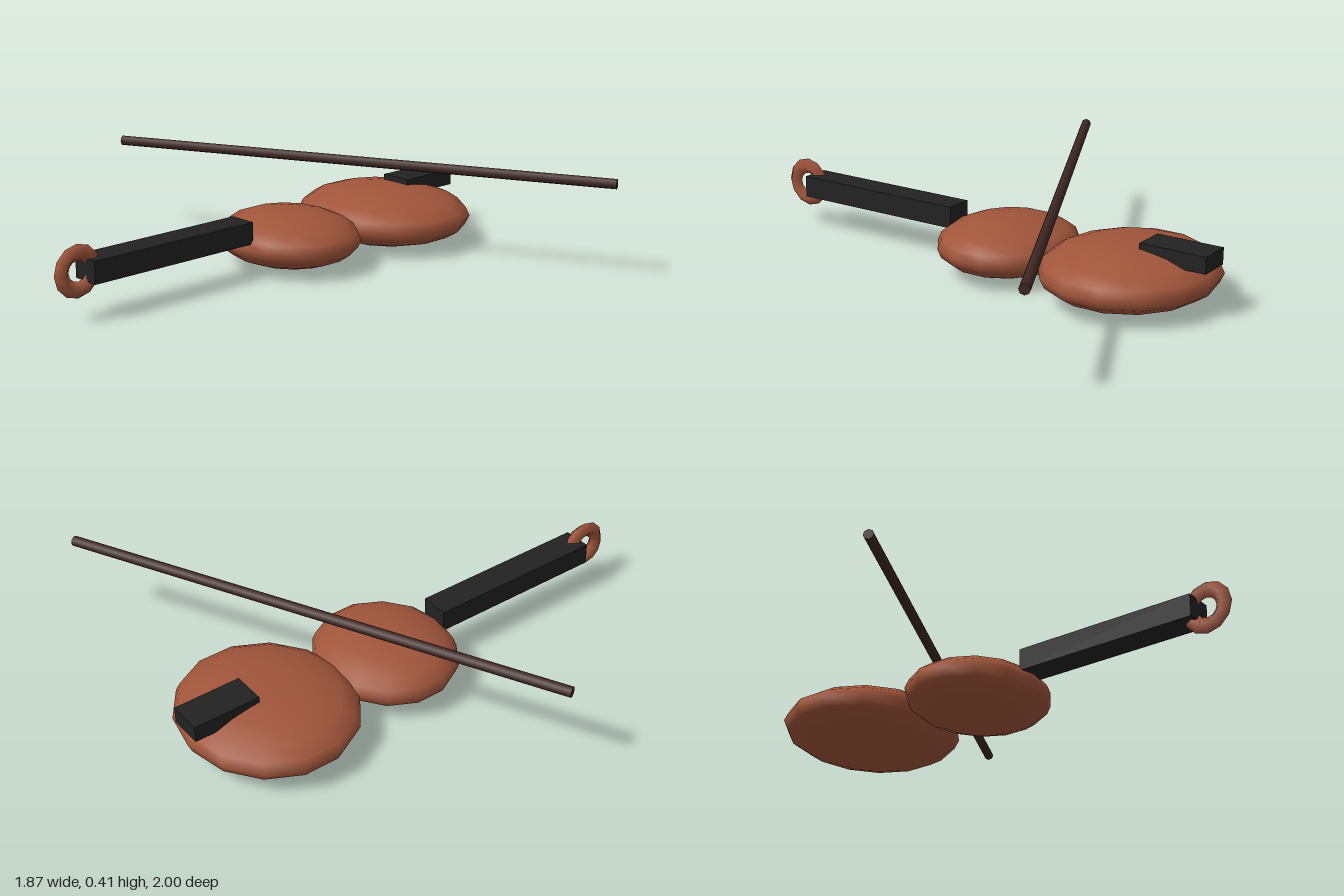
import * as THREE from 'three';

export function createModel() {
  const group = new THREE.Group();
  const mat = (name, color) => {
    const m = new THREE.MeshStandardMaterial({ color });
    m.name = name;
    return m;
  };
  const wood = mat('reddish wood', 0xa0553a);
  const ebony = mat('ebony black', 0x222222);
  const darkWood = mat('dark bow wood', 0x3e2723);
  const axisX = -0.088; // centre line of the instrument

  const add = (name, geometry, material, x, y, z) => {
    const mesh = new THREE.Mesh(geometry, material);
    mesh.name = name;
    mesh.position.set(x, y, z);
    group.add(mesh);
    return mesh;
  };

  // Body: two flattened low-poly spheres, with a corner pointing along z
  const bout = (name, rx, ry, rz, z) => {
    const g = new THREE.SphereGeometry(1, 14, 10);
    g.rotateY(Math.PI / 2);
    g.scale(rx, ry, rz);
    add(name, g, wood, axisX, 0.121, z);
  };
  bout('lowerBout', 0.372, 0.116, 0.337, -0.66);
  bout('upperBout', 0.303, 0.11, 0.272, -0.12);

  // Neck and tailpiece
  add('neck', new THREE.BoxGeometry(0.115, 0.087, 0.745), ebony, axisX, 0.189, 0.492);
  add('tailpiece', new THREE.BoxGeometry(0.135, 0.065, 0.27), ebony, axisX, 0.222, -0.865);

  // Scroll: ring standing at the end of the neck
  const ring = new THREE.TorusGeometry(0.07, 0.031, 4, 12);
  ring.rotateY(Math.PI / 2);
  add('scroll', ring, wood, axisX, 0.19, 0.898);

  // Bow: thin stick floating diagonally above the body
  const stick = new THREE.CylinderGeometry(0.02, 0.02, 2.07, 8);
  stick.rotateZ(Math.PI / 2);
  add('bow', stick, darkWood, 0, 0.392, -0.405).rotation.y = 0.459;

  return group;
}
